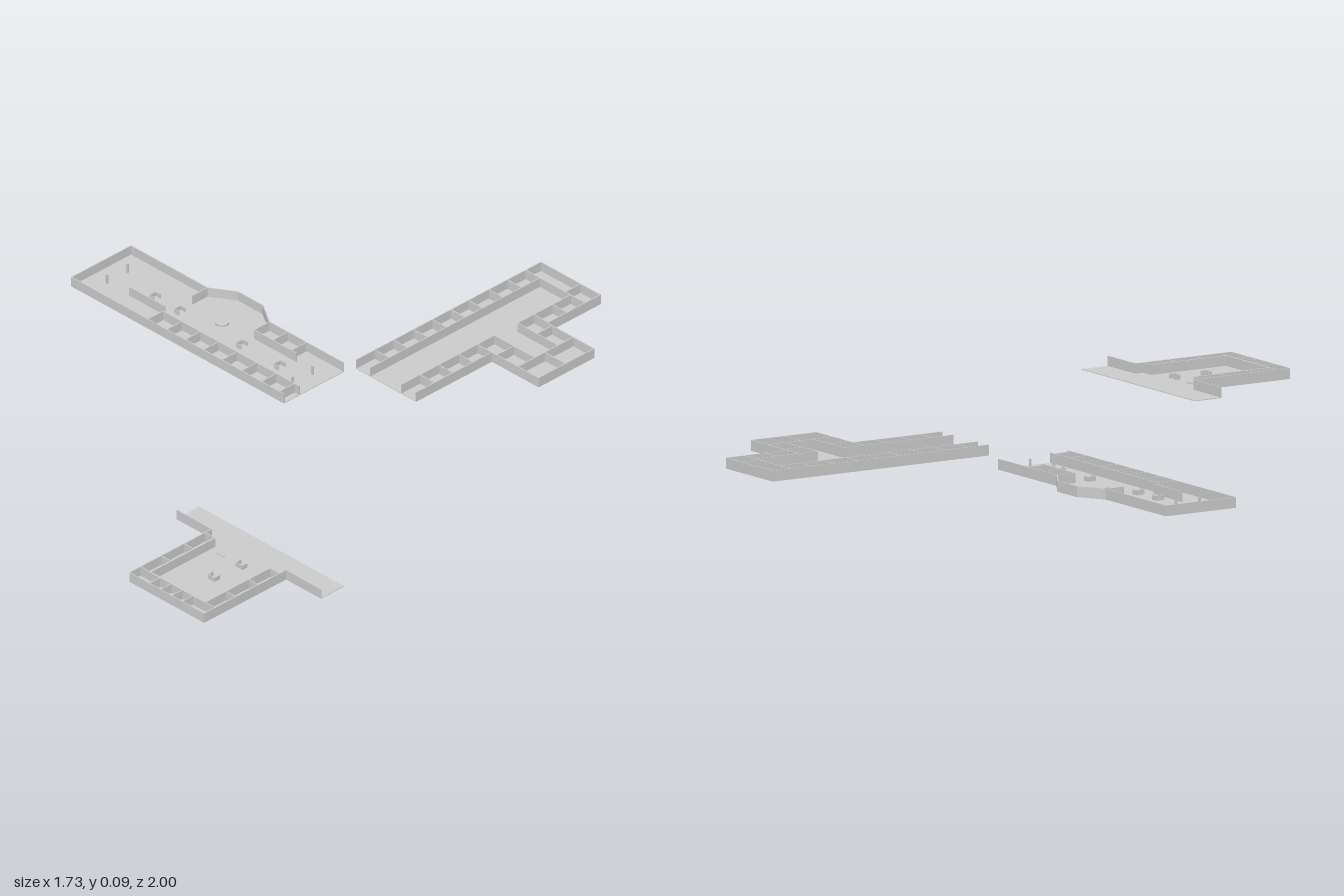
import * as THREE from 'three';

const H = 0.031;   // storey height
const T = 0.003;   // wall thickness
const SLAB = 0.002;
const mat = new THREE.MeshStandardMaterial({ color: 0xcccccc, flatShading: true });

function add(parent, geo, name, x = 0, y = 0, z = 0) {
  const m = new THREE.Mesh(geo, mat);
  m.name = name;
  m.position.set(x, y, z);
  parent.add(m);
  return m;
}

// Flat slab from an outline of [x, z] corners
function floorSlab(parent, pts) {
  const shape = new THREE.Shape(pts.map(([x, z]) => new THREE.Vector2(x, -z)));
  const geo = new THREE.ExtrudeGeometry(shape, { depth: SLAB, bevelEnabled: false });
  geo.rotateX(-Math.PI / 2);
  add(parent, geo, 'floor');
}

// Run of upright walls along [x, z] points
function walls(parent, pts, name, t = T, h = H) {
  for (let i = 0; i + 1 < pts.length; i++) {
    const [x0, z0] = pts[i], [x1, z1] = pts[i + 1];
    const w = add(parent, new THREE.BoxGeometry(Math.hypot(x1 - x0, z1 - z0), h, t), name,
      (x0 + x1) / 2, h / 2, (z0 + z1) / 2);
    w.rotation.y = -Math.atan2(z1 - z0, x1 - x0);
  }
}

// Small desk with a back and two returns
function desk(parent, x, z, turn = 0) {
  const g = new THREE.Group();
  g.name = 'desk';
  walls(g, [[0.01, -0.013], [-0.01, -0.013], [-0.01, 0.013], [0.01, 0.013]], 'deskPanel', 0.002, 0.014);
  g.position.set(x, SLAB, z);
  g.rotation.y = turn;
  parent.add(g);
}

function storey(root, name, y) {
  const g = new THREE.Group();
  g.name = name;
  g.position.y = y;
  root.add(g);
  return g;
}

// Lower storey: long hall with a bay at the back
function lowerStorey(root) {
  const g = storey(root, 'lowerStorey', 0);
  const back = [[-0.01, -0.27], [-0.31, -0.27], [-0.384, -0.317], [-0.484, -0.317], [-0.56, -0.27], [-0.868, -0.27]];
  const outline = [...back, [-0.868, -0.035], [-0.01, -0.035]];
  floorSlab(g, outline);
  walls(g, outline, 'outerWall');
  walls(g, [[-0.56, -0.035], [-0.56, -0.095], [-0.01, -0.095]], 'corridorWall');
  for (const x of [-0.484, -0.41, -0.336, -0.262, -0.182, -0.103, -0.03])
    walls(g, [[x, -0.035], [x, -0.095]], 'partition');
  walls(g, [[-0.31, -0.21], [-0.14, -0.21]], 'corridorWall');
  for (const x of [-0.56, -0.31, -0.235, -0.16]) walls(g, [[x, -0.27], [x, -0.21]], 'partition');
  walls(g, [[-0.717, -0.116], [-0.574, -0.116]], 'counter');
  for (const x of [-0.654, -0.553, -0.304, -0.151]) desk(g, x, -0.155);
  for (const x of [-0.807, -0.06])
    for (const z of [-0.196, -0.116])
      add(g, new THREE.BoxGeometry(0.006, H, 0.006), 'column', x, H / 2, z);
  add(g, new THREE.CylinderGeometry(0.02, 0.02, 0.006, 20), 'roundTable', -0.43, 0.005, -0.2);
}

// Middle storey: corridor with rooms on both sides and a side wing
function middleStorey(root) {
  const g = storey(root, 'middleStorey', 0.033);
  const outline = [[0.28, -0.27], [0.28, -0.571], [0.468, -0.571], [0.468, -0.79], [0.28, -0.79],
    [0.28, -1], [0.04, -1], [0.04, -0.27]];
  floorSlab(g, outline);
  walls(g, outline, 'outerWall');
  walls(g, [[0.097, -0.27], [0.097, -0.94], [0.222, -0.94], [0.222, -0.73],
    [0.385, -0.73], [0.385, -0.638], [0.222, -0.638], [0.222, -0.27]], 'corridorWall');
  for (const z of [-0.94, -0.868, -0.794, -0.714, -0.645, -0.571, -0.497, -0.418, -0.344])
    walls(g, [[0.04, z], [0.097, z]], 'partition');
  for (const z of [-0.94, -0.868, -0.794, -0.571, -0.497, -0.418, -0.344])
    walls(g, [[0.222, z], [0.28, z]], 'partition');
  walls(g, [[0.2, -1], [0.2, -0.94]], 'partition');
  for (const x of [0.3, 0.385]) {
    walls(g, [[x, -0.79], [x, -0.73]], 'partition');
    walls(g, [[x, -0.638], [x, -0.571]], 'partition');
  }
  walls(g, [[0.385, -0.678], [0.468, -0.678]], 'partition');
}

// Upper storey: open landing with a square block of rooms in front
function upperStorey(root) {
  const g = storey(root, 'upperStorey', 0.063);
  const front = [[0.28, 0.674], [0.42, 0.674], [0.42, 0.998], [0.72, 0.998], [0.72, 0.674], [0.862, 0.674]];
  floorSlab(g, [...front, [0.862, 0.585], [0.28, 0.585]]);
  walls(g, front, 'outerWall');
  walls(g, [[0.459, 0.7], [0.459, 0.955], [0.68, 0.955], [0.68, 0.7]], 'innerWall', 0.005);
  for (const z of [0.7, 0.783, 0.873, 0.955]) {
    walls(g, [[0.42, z], [0.459, z]], 'partition');
    walls(g, [[0.68, z], [0.72, z]], 'partition');
  }
  for (const x of [0.5, 0.545, 0.59, 0.632]) walls(g, [[x, 0.955], [x, 0.998]], 'partition');
  desk(g, 0.588, 0.72, Math.PI / 2);
  desk(g, 0.578, 0.82, Math.PI / 2);
  walls(g, [[0.49, 0.72], [0.52, 0.72]], 'bench', 0.006, 0.005);
}

export function createModel() {
  const root = new THREE.Group();
  root.name = 'floorPlans';
  // The long hall's +x end and the corridor's front end stay open
  lowerStorey(root);
  middleStorey(root);
  upperStorey(root);
  return root;
}
